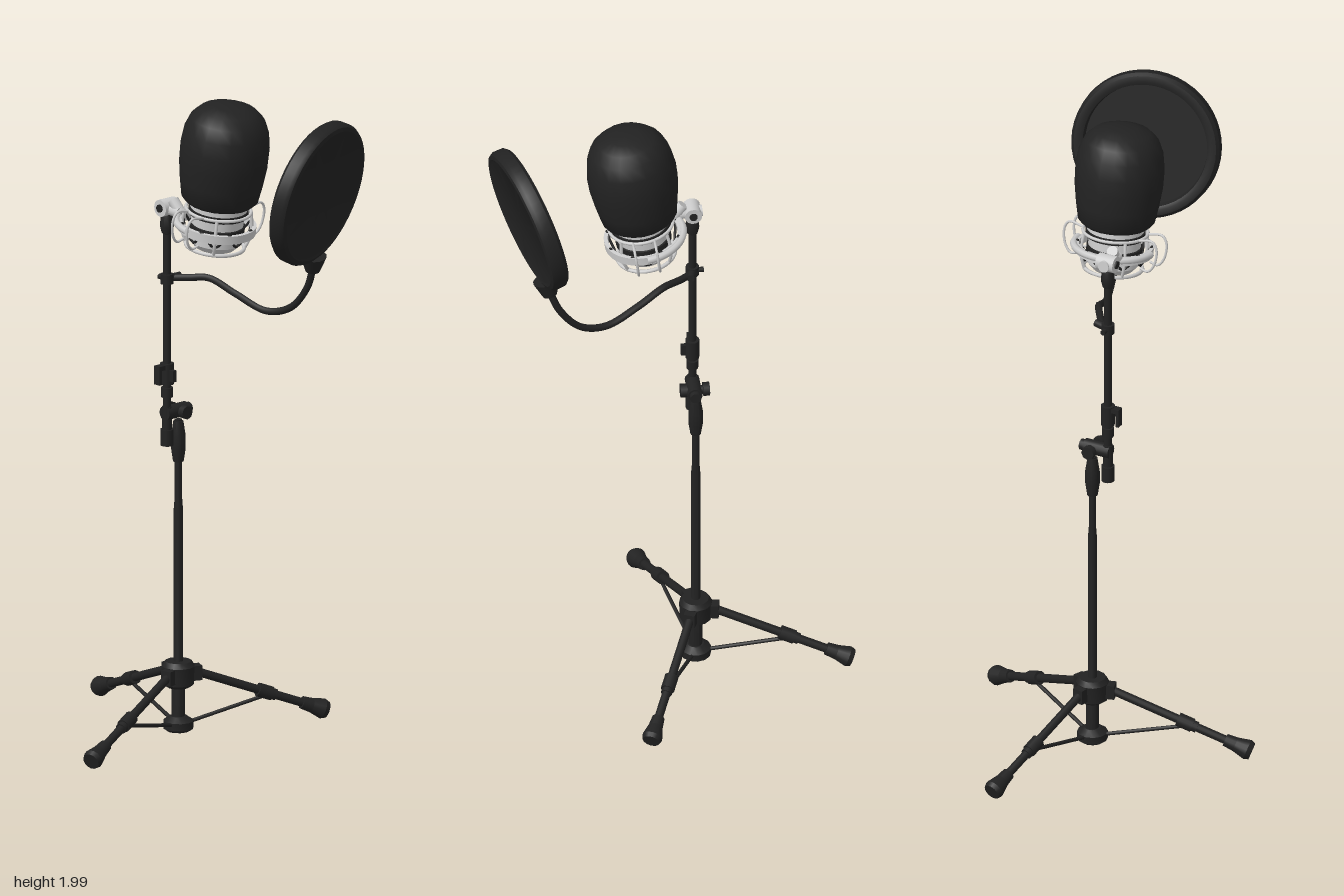
import * as THREE from 'three';
import { toCreasedNormals } from 'three/addons/utils/BufferGeometryUtils.js';

const black = new THREE.MeshStandardMaterial({ color: 0x222222 });
const grey = new THREE.MeshStandardMaterial({ color: 0xcccccc });
const V = (x, y, z) => new THREE.Vector3(x, y, z);
const UP = V(0, 1, 0);

function add(parent, name, geometry, material = black) {
  const mesh = new THREE.Mesh(geometry, material);
  mesh.name = name;
  parent.add(mesh);
  return mesh;
}

// Tapered round bar from a to b
function bar(parent, name, a, b, ra, rb = ra, material = black, sides = 14) {
  const mesh = add(parent, name, new THREE.CylinderGeometry(rb, ra, a.distanceTo(b), sides), material);
  mesh.position.copy(a).lerp(b, 0.5);
  mesh.quaternion.setFromUnitVectors(UP, b.clone().sub(a).normalize());
  return mesh;
}

// Turned part; points run [radius, height] from the bottom upwards
function turned(parent, name, points, material = black, sides = 32, crease = 0.6) {
  const lathe = new THREE.LatheGeometry(points.map(p => new THREE.Vector2(...p)), sides);
  return add(parent, name, toCreasedNormals(lathe, crease), material);
}

function tube(parent, name, points, radius, material = black, steps = 40, closed = false) {
  const curve = new THREE.CatmullRomCurve3(points, closed, 'centripetal');
  return add(parent, name, new THREE.TubeGeometry(curve, steps, radius, 8, closed), material);
}

function box(parent, name, size, position, material = black) {
  const mesh = add(parent, name, new THREE.BoxGeometry(...size), material);
  mesh.position.set(...position);
  return mesh;
}

function ring(parent, name, radius, thick, y, material = grey) {
  const mesh = add(parent, name, new THREE.TorusGeometry(radius, thick, 8, 40), material);
  mesh.rotation.x = Math.PI / 2;
  mesh.position.y = y;
  return mesh;
}

function makeTripod() {
  const g = new THREE.Group();
  g.name = 'tripod';
  g.position.set(0.02, 0, -0.08);

  // Centre post with hubs and clutch
  turned(g, 'centrePost', [[0, 0.02], [0.02, 0.02], [0.02, 0.2], [0.014, 0.23], [0.014, 0.7],
    [0.011, 0.74], [0.011, 0.98], [0, 0.98]], black, 16);
  turned(g, 'upperHub', [[0, 0.15], [0.035, 0.15], [0.048, 0.16], [0.05, 0.215], [0.04, 0.23], [0, 0.23]], black, 12);
  turned(g, 'lowerHub', [[0, 0.014], [0.035, 0.014], [0.046, 0.022], [0.046, 0.045], [0.025, 0.06], [0, 0.06]], black, 12);
  turned(g, 'clutch', [[0, 0.85], [0.016, 0.85], [0.022, 0.89], [0.022, 0.93], [0.015, 0.975], [0, 0.975]], black, 16);

  // Legs: direction in degrees and reach from the post
  for (const [deg, reach] of [[165, 0.488], [23.5, 0.468], [-78, 0.47]]) {
    const leg = new THREE.Group();
    leg.name = 'leg';
    leg.rotation.y = -THREE.MathUtils.degToRad(deg);
    g.add(leg);
    const top = V(0.035, 0.2, 0), tip = V(reach, 0.034, 0);
    const at = t => top.clone().lerp(tip, t);
    bar(leg, 'legTube', top, at(0.9), 0.013);
    bar(leg, 'legCollar', at(0.5), at(0.6), 0.021);
    bar(leg, 'collarLip', at(0.6), at(0.63), 0.017);
    bar(leg, 'footSleeve', at(0.82), at(0.89), 0.019, 0.022);
    bar(leg, 'footFlare', at(0.89), at(0.97), 0.022, 0.031);
    bar(leg, 'footEnd', at(0.97), at(1), 0.031, 0.026);
    box(leg, 'hubFork', [0.04, 0.045, 0.034], [0.05, 0.19, 0]);
    bar(leg, 'brace', V(0.035, 0.038, 0), at(0.55).add(V(0, -0.012, 0)), 0.006, 0.006, black, 8);
  }
  return g;
}

function makeUpperPole() {
  const g = new THREE.Group();
  g.name = 'upperPole';
  g.position.set(-0.03, 0, -0.076);
  bar(g, 'tube', V(0, 0.92, 0), V(0, 1.6, 0), 0.012);
  bar(g, 'counterEnd', V(0, 0.91, 0), V(0, 0.96, 0), 0.02);
  bar(g, 'endNeck', V(0, 0.96, 0), V(0, 1.03, 0), 0.015);

  // Swivel clamp joining the two poles
  bar(g, 'clampBarrel', V(-0.01, 1.01, 0), V(0.075, 1.01, 0), 0.022);
  bar(g, 'clampKnob', V(0.068, 1.01, 0), V(0.09, 1.01, 0), 0.017);
  bar(g, 'clampBolt', V(0.045, 1.01, -0.043), V(0.045, 1.01, 0.04), 0.012);
  for (const z of [-0.036, 0.032]) {
    bar(g, 'boltHead', V(0.045, 1.01, z - 0.01), V(0.045, 1.01, z + 0.01), 0.021, 0.021, black, 8);
  }

  // Collars and cable clip
  bar(g, 'lowerCollar', V(0, 1.06, 0), V(0, 1.09, 0), 0.018);
  bar(g, 'clipCollar', V(0, 1.1, 0), V(0, 1.165, 0), 0.021);
  box(g, 'clipArm', [0.04, 0.014, 0.024], [-0.022, 1.155, 0]);
  box(g, 'clipHook', [0.01, 0.055, 0.024], [-0.037, 1.132, 0]);
  box(g, 'clipTab', [0.014, 0.035, 0.03], [0, 1.13, 0.02]);

  // Screen arm clamp
  bar(g, 'armClamp', V(0, 1.412, 0), V(0, 1.442, 0), 0.02);
  bar(g, 'armClampScrew', V(0, 1.427, 0), V(0, 1.427, -0.034), 0.008);
  bar(g, 'armClampSocket', V(0, 1.427, 0), V(0.045, 1.43, 0.01), 0.012);

  // Head swivel
  turned(g, 'swivel', [[0, 1.56], [0.016, 1.57], [0.021, 1.59], [0.019, 1.62], [0.012, 1.635], [0, 1.635]], black, 16);
  bar(g, 'headBarrel', V(-0.028, 1.65, 0), V(0.03, 1.65, 0), 0.026, 0.026, grey, 20);
  bar(g, 'headBolt', V(-0.033, 1.65, 0), V(0.035, 1.65, 0), 0.012);
  bar(g, 'headStem', V(0, 1.65, -0.03), V(0, 1.643, 0.06), 0.018, 0.018, grey);
  return g;
}

function makeMicrophone() {
  const g = new THREE.Group();
  g.name = 'microphone';
  g.position.set(0.03, 1.62, 0.08);
  g.rotation.x = 0.14;

  turned(g, 'foamWindscreen', [[0, 0.07], [0.1, 0.07], [0.116, 0.085], [0.126, 0.14], [0.134, 0.2],
    [0.135, 0.25], [0.128, 0.3], [0.112, 0.34], [0.085, 0.366], [0.045, 0.378], [0, 0.38]], black, 20, 0.9);
  turned(g, 'body', [[0, -0.085], [0.03, -0.085], [0.035, -0.075], [0.06, -0.075], [0.078, -0.055],
    [0.08, 0.045], [0.086, 0.05], [0.086, 0.08], [0, 0.08]], grey, 32);
  turned(g, 'bodyBand', [[0.08, 0.03], [0.09, 0.032], [0.09, 0.05], [0.08, 0.052]], black, 32);
  turned(g, 'lowerBand', [[0.078, -0.02], [0.084, -0.018], [0.084, 0], [0.078, 0.002]], black, 32);

  // Shock mount cage
  const cage = new THREE.Group();
  cage.name = 'shockMount';
  g.add(cage);
  ring(cage, 'upperRing', 0.098, 0.005, 0.045);
  ring(cage, 'lowerRing', 0.088, 0.006, -0.07);
  turned(cage, 'mainRing', [[0.106, -0.022], [0.118, -0.022], [0.118, 0.004], [0.106, 0.004], [0.106, -0.022]], grey, 40);
  for (let i = 0; i < 4; i++) {
    const arm = new THREE.Group();
    arm.name = 'cageArm';
    arm.rotation.y = Math.PI / 4 + i * Math.PI / 2;
    cage.add(arm);
    tube(arm, 'cageStrut', [V(0.098, 0.045, 0), V(0.104, 0, 0), V(0.1, -0.04, 0), V(0.088, -0.07, 0)], 0.005, grey, 12);
  }

  // Side wire loops, mirrored
  for (const s of [-1, 1]) {
    for (const z of [-0.03, 0.035]) {
      tube(cage, 'wireLoop', [V(s * 0.09, 0.045, z), V(s * 0.14, 0.052, z), V(s * 0.155, 0.03, z),
        V(s * 0.15, -0.02, z), V(s * 0.13, -0.045, z), V(s * 0.105, -0.04, z)], 0.004, grey, 24);
    }
  }

  // Elastic cord zigzag
  const cord = [];
  for (let i = 0; i < 16; i++) {
    const a = i * Math.PI / 8, r = i % 2 ? 0.112 : 0.09;
    cord.push(V(Math.cos(a) * r, i % 2 ? 0.006 : -0.045, Math.sin(a) * r));
  }
  tube(cage, 'elasticCord', cord, 0.004, black, 96, true);

  // Curved rear bracket reaching the head swivel
  const yoke = add(cage, 'rearYoke', new THREE.TorusGeometry(0.122, 0.011, 8, 28, Math.PI), grey);
  yoke.rotation.x = -Math.PI / 2;
  yoke.position.y = -0.002;
  bar(cage, 'yokeStem', V(-0.055, 0.005, -0.1), V(-0.06, 0.038, -0.135), 0.017, 0.017, grey);
  return g;
}

function makePopFilter() {
  const g = new THREE.Group();
  g.name = 'popFilter';
  const centre = V(0.109, 1.772, 0.435);
  const normal = V(0.27, -0.22, 0.93).normalize();

  // Framed screen, recessed on the microphone side
  const screen = turned(g, 'screen', [[0, -0.002], [0.186, -0.002], [0.19, -0.026], [0.2, -0.03], [0.217, -0.028],
    [0.226, -0.018], [0.227, 0.012], [0.22, 0.024], [0.208, 0.028], [0.2, 0.024], [0, 0.024]], black, 48);
  screen.position.copy(centre);
  screen.quaternion.setFromUnitVectors(UP, normal);

  // Neck and flexible arm
  bar(g, 'neck', V(0.14, 1.562, 0.385), V(0.147, 1.512, 0.374), 0.04, 0.022);
  tube(g, 'gooseneck', [V(-0.01, 1.427, -0.07), V(0.02, 1.43, -0.03), V(0.052, 1.433, 0.02), V(0.085, 1.395, 0.1),
    V(0.118, 1.356, 0.2), V(0.142, 1.378, 0.28), V(0.152, 1.45, 0.343), V(0.147, 1.53, 0.378)], 0.011, black, 64);
  return g;
}

export function createModel() {
  const model = new THREE.Group();
  model.name = 'microphoneStand';
  model.add(makeTripod(), makeUpperPole(), makeMicrophone(), makePopFilter());
  return model;
}
